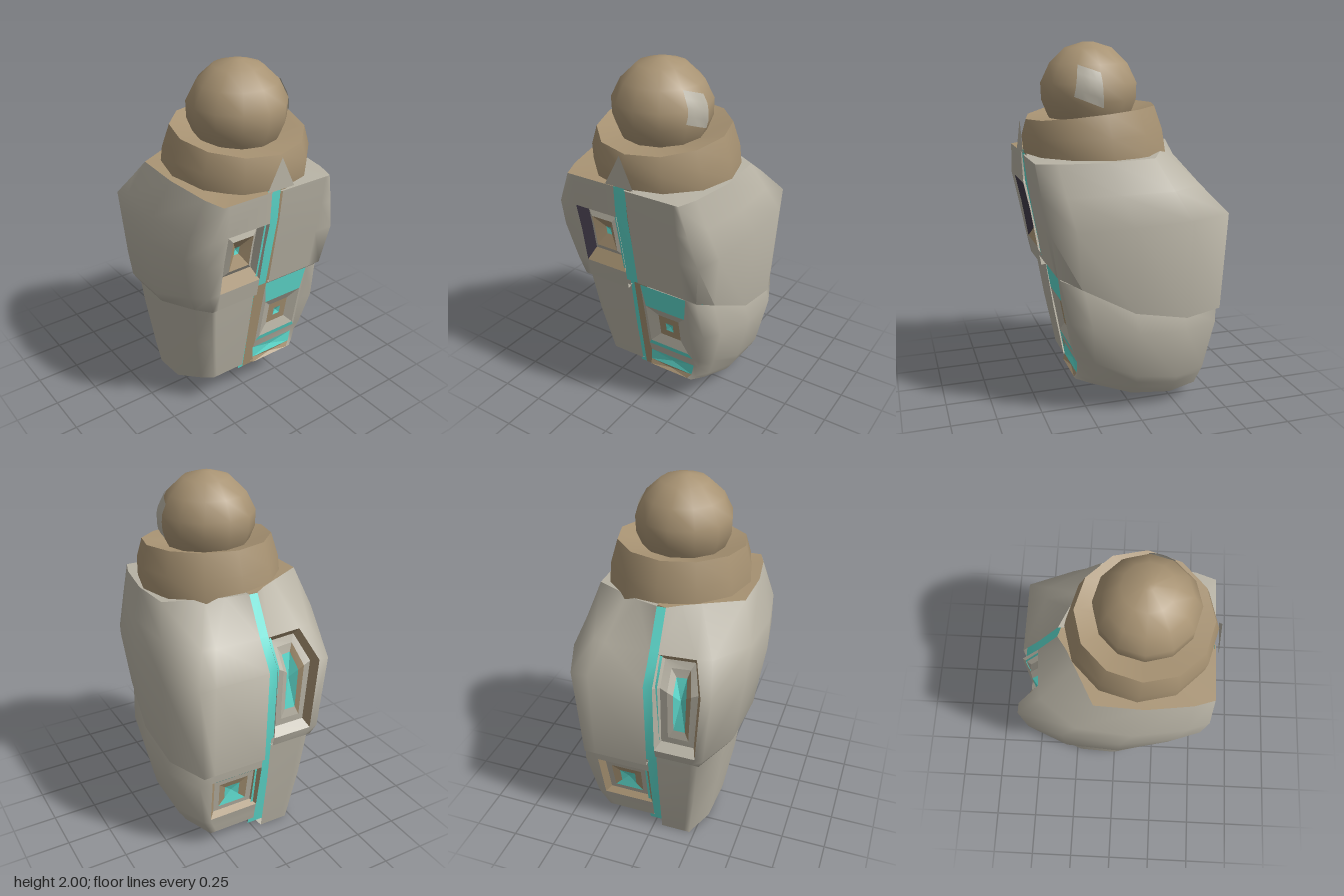
import * as THREE from 'three';
import { toCreasedNormals } from 'three/addons/utils/BufferGeometryUtils.js';

const V = (x, y, z) => new THREE.Vector3(x, y, z);
const mix = THREE.MathUtils.lerp;
const paint = (name, color) => {
  const m = new THREE.MeshStandardMaterial({ color, side: THREE.DoubleSide });
  m.name = name;
  return m;
};

export function createModel() {
  const grey = paint('stone grey', 0xb8b3a5);
  const tan = paint('tan', 0xa89373);
  const cyan = paint('cyan', 0x5fdccf);
  const dark = paint('dark plum', 0x3b3542);
  const model = new THREE.Group();

  // Turns a list of quads (corners counter-clockwise from outside) into a mesh
  function addQuads(parent, name, material, quads, flip = false, crease = 0.75) {
    const pts = [];
    for (const [a, b, c, d] of quads) {
      if (flip) pts.push(a, c, b, a, d, c);
      else pts.push(a, b, c, a, c, d);
    }
    const geo = toCreasedNormals(new THREE.BufferGeometry().setFromPoints(pts), crease);
    const mesh = new THREE.Mesh(geo, material);
    mesh.name = name;
    parent.add(mesh);
  }

  const loft = (rows, skip = () => false) => {
    const quads = [];
    for (let i = 0; i + 1 < rows.length; i++)
      for (let j = 0; j + 1 < rows[i].length; j++)
        if (!skip(i, j)) quads.push([rows[i][j], rows[i + 1][j], rows[i + 1][j + 1], rows[i][j + 1]]);
    return quads;
  };

  // Half cross-section, from the front seam around the side to the back seam
  function section(side, [yf, yb, zf, zb, w, round = 0]) {
    const [seamF, seamB, backW, cornerW] = side > 0 ? [0.02, 0, 0.98, 0.79] : [0.05, 0.05, 0.93, 0.71];
    const panel = Math.min(0.31, 0.75 * w);
    const rise = (t) => (side > 0 && round === 1 ? t ** 5 : Math.min(1, t * 1.8));
    return [
      [seamF, 0], [panel, 0], [0.82 * w, 0], [0.91 * w, 0.13], [w, 0.43], [mix(backW, 0.98, round) * w, 0.75],
      [mix(cornerW, 0.5, round) * w, mix(1, 0.88, round)],
      [mix(Math.min(panel, (cornerW - 0.1) * w), 0.12, round), mix(1, 0.94, round)], [seamB, 1],
    ].map(([x, t]) => V(side * x, mix(yf, yb, rise(t)), mix(zf, zb, t)));
  }

  // Stepped recess filling the opening between rows a..b at column j
  // ends = bottom and top colours, sides = seam side and outer side colours
  function recess(parent, name, rows, { a, b, col, steps, core, shift = 0 }, flip) {
    const n = b - a;
    let ring = [];
    for (let i = a; i <= b; i++) ring.push(rows[i][col]);
    for (let i = b; i >= a; i--) ring.push(rows[i][col + 1]);
    const rim = ring;
    const centre = new THREE.Box3().setFromPoints(rim).getCenter(V());
    const inward = col === 0 ? -1 : 1;
    for (const [sx, sy, depth, ends, sides] of steps) {
      const next = rim.map((p) => V(
        centre.x + (p.x - centre.x) * sx,
        centre.y + shift + (p.y - centre.y) * sy,
        centre.z + (p.z - centre.z) * sy + inward * depth));
      const byMaterial = new Map();
      ring.forEach((p, k) => {
        const k2 = (k + 1) % ring.length;
        const seamSide = (k < n) === (col === 0);
        const m = k === n ? ends[0] : k === 2 * n + 1 ? ends[1] : sides[seamSide ? 0 : 1];
        if (!byMaterial.has(m)) byMaterial.set(m, []);
        byMaterial.get(m).push([p, ring[k2], next[k2], next[k]]);
      });
      byMaterial.forEach((q, m) => addQuads(parent, name + 'Step', m, q, flip, 0.2));
      ring = next;
    }
    const tip = ring.reduce((s, p) => s.add(p), V()).divideScalar(ring.length);
    tip.z += inward * 0.01;
    addQuads(parent, name + 'Core', core,
      ring.map((p, k) => [p, ring[(k + 1) % ring.length], tip, tip]), flip, 0.2);
  }

  function shell(name, side, data, panels) {
    const g = new THREE.Group();
    g.name = name;
    const rows = data.map((d) => section(side, d));
    const open = (i, j) => panels.some((p) => j === p.col && i >= p.a && i < p.b);
    addQuads(g, name + 'Skin', grey, loft(rows, open), side < 0, 1.4);
    panels.forEach((p) => recess(g, p.col ? 'backPanel' : 'frontPanel', rows, p, side < 0));
    model.add(g);
    return rows;
  }
  const greys = [grey, grey], tans = [tan, tan], cyans = [cyan, cyan];

  // Upper shells; the last row of each is a lip tucked under
  const upperRight = shell('upperRightShell', -1, [
    [1.42, 1.46, 0.52, -0.30, 0.42, 1], [1.24, 1.25, 0.51, -0.42, 0.505, 0.3],
    [1.08, 1.10, 0.475, -0.52, 0.515], [0.87, 0.68, 0.44, -0.51, 0.46],
    [0.76, 0.62, 0.42, -0.49, 0.42], [0.77, 0.63, 0.37, -0.44, 0.36],
  ], [
    { a: 1, b: 3, col: 0, core: cyan, shift: 0.02, steps: [
      [0.74, 0.72, 0.05, [tan, grey], [grey, dark]],
      [0.5, 0.52, 0.03, greys, greys], [0.12, 0.13, 0.07, tans, tans]] },
    { a: 1, b: 3, col: 7, core: cyan, steps: [
      [0.8, 0.86, 0.04, [grey, tan], [grey, tan]], [0.5, 0.72, 0.03, greys, greys],
      [0.28, 0.55, 0.03, greys, [grey, tan]]] },
  ]);
  const upperLeft = shell('upperLeftShell', 1, [
    [1.41, 1.46, 0.52, -0.30, 0.41, 1], [1.24, 1.25, 0.50, -0.42, 0.46, 0.3],
    [1.06, 1.10, 0.47, -0.52, 0.515], [0.82, 0.55, 0.43, -0.50, 0.475],
    [0.83, 0.56, 0.38, -0.45, 0.41],
  ], []);

  // Lower shells, open at the slanted bottom; the left one is cut shorter
  const lowerRight = shell('lowerRightShell', -1, [
    [0.80, 0.66, 0.40, -0.48, 0.41], [0.50, 0.35, 0.355, -0.45, 0.37],
    [0.20, 0.00, 0.30, -0.40, 0.31],
  ], []);
  const lowerLeft = shell('lowerLeftShell', 1, [
    [0.80, 0.58, 0.41, -0.48, 0.46], [0.56, 0.48, 0.365, -0.47, 0.49],
    [0.36, 0.19, 0.33, -0.42, 0.43], [0.30, 0.15, 0.31, -0.41, 0.41],
    [0.23, 0.12, 0.31, -0.405, 0.39], [0.20, 0.07, 0.32, -0.395, 0.36],
  ], [
    { a: 0, b: 2, col: 0, core: cyan, shift: -0.055, steps: [
      [0.86, 0.6, 0.005, cyans, greys], [0.45, 0.32, 0.03, greys, greys],
      [0.16, 0.12, 0.03, tans, tans]] },
    { a: 3, b: 4, col: 0, core: cyan, steps: [] },
    { a: 4, b: 5, col: 0, core: tan, steps: [] },
    { a: 1, b: 2, col: 7, core: cyan, steps: [
      [0.8, 0.78, 0.03, [tan, cyan], tans], [0.58, 0.58, 0.03, greys, greys],
      [0.3, 0.3, 0.04, [cyan, tan], tans]] },
  ]);

  // Shoulder decks
  const deck = (name, row, material, flip) => {
    const c = V(0, 1.43, 0.12), first = row[0], last = row.at(-1);
    const edge = [V(0, first.y, first.z - 0.015), ...row, V(0, last.y, last.z + 0.015)];
    addQuads(model, name, material, edge.slice(1).map((p, j) => [edge[j], p, c, c]), flip);
  };
  deck('rightDeck', upperRight[0], tan, true);
  deck('leftDeck', upperLeft[0], grey, false);

  // Underside: rim around a shallow tan socket
  for (const [side, row] of [[-1, lowerRight.at(-1)], [1, lowerLeft.at(-1)]]) {
    const inner = row.map((p) => p.clone().lerp(V(0, 0.13, 0.07), 0.33));
    inner[0].x = inner.at(-1).x = 0;
    const deep = inner.map((p) => V(p.x * 0.6, p.y + 0.05, 0.03 + (p.z - 0.03) * 0.6));
    const end = deep.map(() => V(0, 0.17, 0.03));
    const front = (i, j) => side > 0 && j < 3;
    addQuads(model, 'bottomRim', grey, loft([row, inner], front), side < 0);
    if (side > 0) addQuads(model, 'bottomRimFront', tan, loft([row, inner], (i, j) => !front(i, j)));
    addQuads(model, 'bottomSocket', tan, loft([inner, deep, end]), side < 0);
  }

  // Sunken seam ribbons down the front and back
  function ribbon(name, material, path, x0, x1, flip = false) {
    addQuads(model, name, material, loft(path.map(([y, z]) => [V(x0, y, z), V(x1, y, z)])), flip);
  }
  const upperPath = [[1.43, 0.51], [1.24, 0.495], [0.81, 0.415]];
  const lowerPath = [[0.81, 0.39], [0.5, 0.34], [0.17, 0.285]];
  ribbon('frontSeamUpper', cyan, upperPath, -0.07, 0.013);
  ribbon('frontSeamEdge', tan, upperPath, 0.013, 0.05);
  ribbon('frontSeamLower', tan, lowerPath, -0.036, 0.05);
  ribbon('frontSeamLowerEdge', cyan, lowerPath, -0.07, -0.036);
  ribbon('backSeam', cyan,
    [[1.45, -0.285], [1.25, -0.405], [1.1, -0.5], [0.56, -0.465], [0.03, -0.38]], -0.07, 0.03, true);

  // Collar: twelve-sided rings [y, z centre, radius, tilt, sag], dipping to the front
  const collarRings = [
    [1.61, 0.15, 0.2, 0.01, 0], [1.65, 0.145, 0.355, 0.035, 0.015],
    [1.53, 0.135, 0.39, 0.015, 0], [1.42, 0.12, 0.395, 0, 0],
  ].map(([y, cz, r, tilt, sag]) => Array.from({ length: 13 }, (_, k) => {
    const a = (k / 12) * Math.PI * 2, c = Math.cos(a);
    return V(0.012 + r * Math.sin(a), y - tilt * c - sag * c * c, cz + r * c);
  }));
  addQuads(model, 'collar', tan, loft(collarRings), false, 1.0);

  // Grey chip on the front of the collar
  addQuads(model, 'collarChip', grey,
    [[V(-0.09, 1.43, 0.533), V(0.08, 1.43, 0.533), V(0, 1.6, 0.53), V(0, 1.6, 0.53)]]);

  // Domed head
  const profile = [[0.2, 1.57], [0.23, 1.62], [0.262, 1.7], [0.265, 1.79], [0.215, 1.89], [0.13, 1.97], [0.03, 2], [0, 2]];
  const head = new THREE.Mesh(
    new THREE.LatheGeometry(profile.map(([x, y]) => new THREE.Vector2(x, y)), 12), tan);
  head.name = 'head';
  head.position.set(0.005, 0, 0.15);
  model.add(head);

  // Eye plate hugging the left side of the head
  const radiusAt = (y) => {
    const k = profile.findIndex((p) => p[1] >= y);
    const [r0, y0] = profile[k - 1], [r1, y1] = profile[k];
    return mix(r0, r1, (y - y0) / (y1 - y0));
  };
  const steps = [0, 0.25, 0.5, 0.75, 1];
  addQuads(model, 'eyePlate', grey, loft(steps.map((v) => steps.map((u) => {
    const y = mix(mix(1.89, 1.85, u), mix(1.73, 1.67, u), v);
    const z = mix(mix(0.26, 0.15, u), mix(0.29, 0.14, u), v);
    return V(0.007 + Math.sqrt((radiusAt(y) + 0.004) ** 2 - (z - 0.15) ** 2), y, z);
  }))));

  return model;
}
